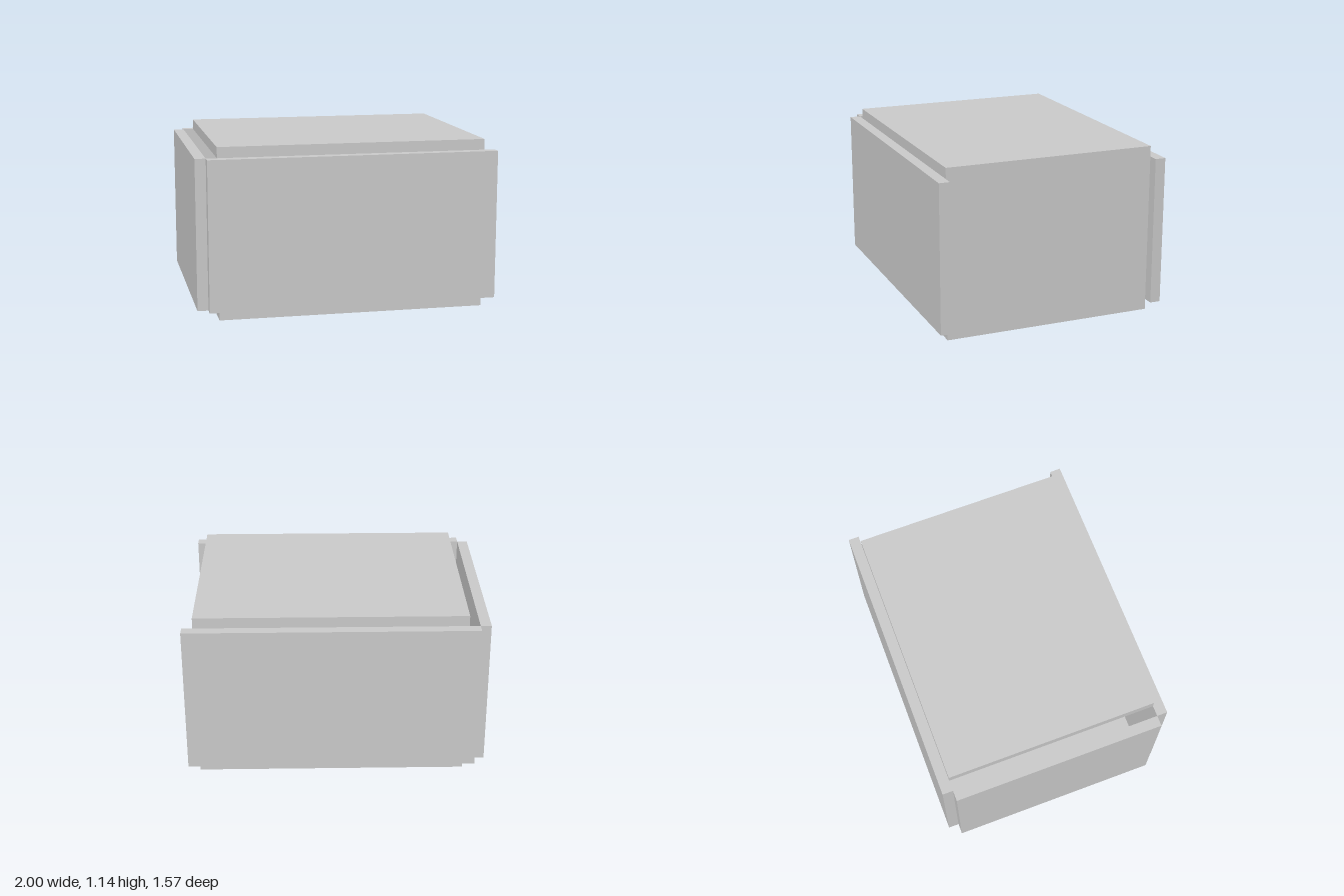
import * as THREE from 'three';

export function createModel() {
  const group = new THREE.Group();
  const t = 1 / 14; // board thickness
  const grey = new THREE.MeshStandardMaterial({ color: 0xcacaca });
  grey.name = 'light grey';

  const add = (name, geometry, x, y, z) => {
    const mesh = new THREE.Mesh(geometry, grey);
    mesh.name = name;
    mesh.position.set(x, y, z);
    group.add(mesh);
  };

  // Channel: top, bottom and one end in a single piece, open towards -x
  const profile = [[-12, 0], [13, 0], [13, 16], [-12, 16], [-12, 15], [12, 15], [12, 1], [-12, 1]];
  const shape = new THREE.Shape(profile.map(([x, y]) => new THREE.Vector2(x * t, y * t)));
  const channel = new THREE.ExtrudeGeometry(shape, { depth: 20 * t, bevelEnabled: false });
  add('wrapChannel', channel, 0, 0, -10 * t);

  // Front and back boards, overhanging the closed end
  for (const [name, side] of [['frontPanel', 1], ['backPanel', -1]]) {
    add(name, new THREE.BoxGeometry(27 * t, 14 * t, t), 0.5 * t, 8 * t, side * 10.5 * t);
  }

  // Loose end board, set off from the open side
  add('endPanel', new THREE.BoxGeometry(t, 14 * t, 20 * t), -13.5 * t, 8 * t, 0);

  return group;
}
